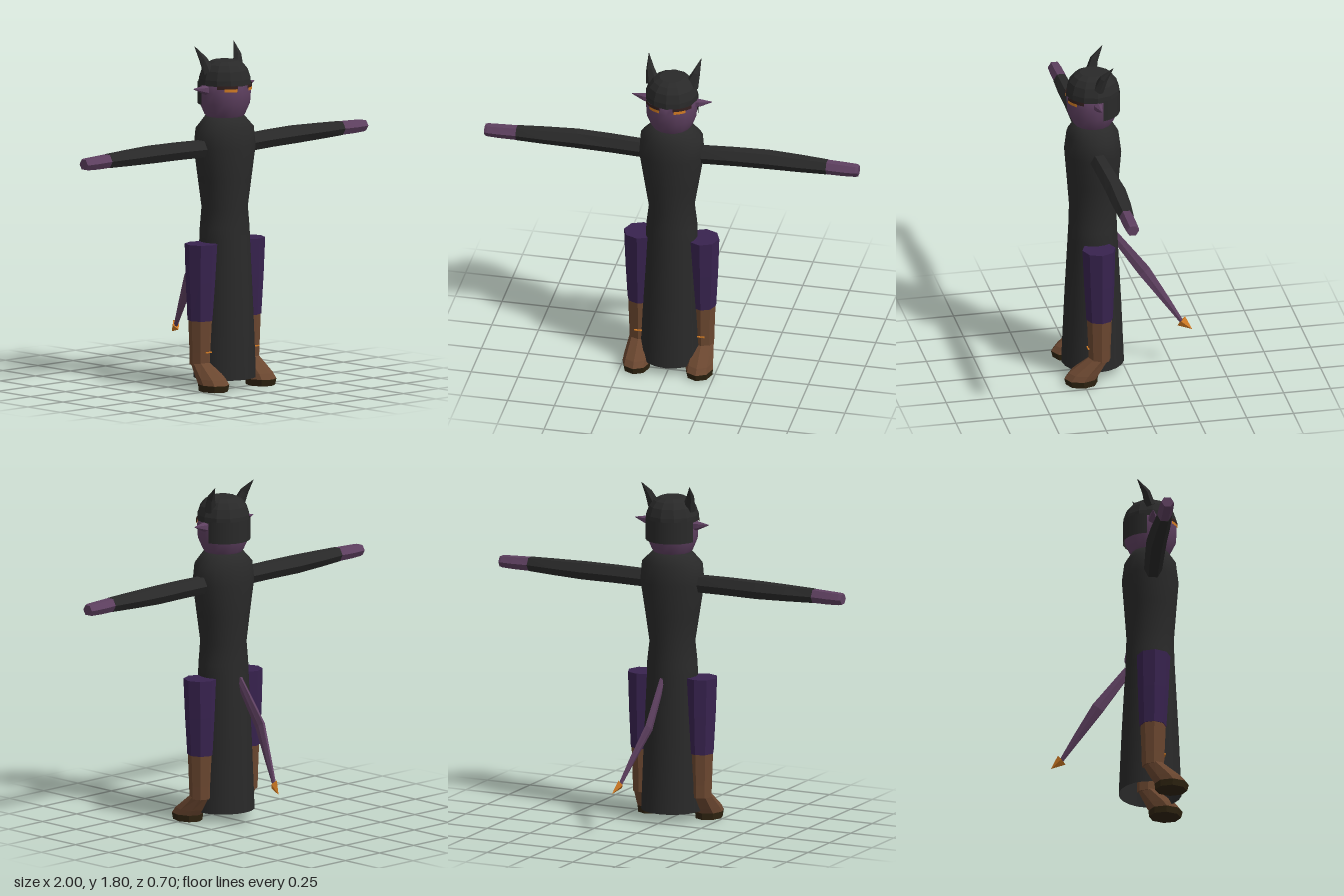
import * as THREE from 'three';

const mat = (name, color, side = THREE.FrontSide) => {
  const m = new THREE.MeshStandardMaterial({ color, side });
  m.name = name;
  return m;
};

// Joins elliptical rings [x, y, z, radiusU, radiusV] set square to dir; hint is the U axis
function loft(rings, sides, dir, hint, { smooth = false, capStart = true, capEnd = true } = {}) {
  const d = new THREE.Vector3(...dir).normalize();
  const u = new THREE.Vector3(...hint);
  u.addScaledVector(d, -u.dot(d)).normalize();
  const v = d.clone().cross(u);
  const pos = [], idx = [];
  for (const [x, y, z, ru, rv] of rings) {
    for (let i = 0; i < sides; i++) {
      const a = (i / sides) * Math.PI * 2;
      const p = new THREE.Vector3(x, y, z)
        .addScaledVector(u, Math.cos(a) * ru)
        .addScaledVector(v, Math.sin(a) * rv);
      pos.push(p.x, p.y, p.z);
    }
  }
  for (let r = 0; r < rings.length - 1; r++) {
    for (let i = 0; i < sides; i++) {
      const j = (i + 1) % sides, a = r * sides + i, b = r * sides + j;
      idx.push(a, b, b + sides, a, b + sides, a + sides);
    }
  }
  const last = (rings.length - 1) * sides;
  for (let i = 1; i < sides - 1; i++) {
    if (capStart) idx.push(0, i + 1, i);
    if (capEnd) idx.push(last, last + i, last + i + 1);
  }
  let g = new THREE.BufferGeometry();
  g.setAttribute('position', new THREE.Float32BufferAttribute(pos, 3));
  g.setIndex(idx);
  if (!smooth) g = g.toNonIndexed();
  g.computeVertexNormals();
  return g;
}

const UP = [0, 1, 0], X = [1, 0, 0], Z = [0, 0, 1];
const CZ = 0.165; // depth of the body axis

export function createModel() {
  const group = new THREE.Group();
  const cloth = mat('black cloth', 0x292929, THREE.DoubleSide);
  const skin = mat('purple skin', 0x5e4060);
  const trousers = mat('violet trousers', 0x38234f);
  const leather = mat('brown leather', 0x6b4730);
  const soleMat = mat('dark sole', 0x2e2310);
  const orange = mat('orange', 0xd37c24, THREE.DoubleSide);
  const browMat = mat('dark brow', 0x33201f, THREE.DoubleSide);

  const add = (name, geometry, material) => {
    const m = new THREE.Mesh(geometry, material);
    m.name = name;
    group.add(m);
    return m;
  };
  // Vertical loft from rows [y, halfWidth, halfDepth, x, z]
  const column = (rows, sides, opts) =>
    loft(rows.map(([y, rx, rz, x = 0, z = CZ]) => [x, y, z, rz, rx]), sides, UP, Z, opts);

  // Robe, open at the hem
  add('robe', column([
    [0.05, 0.165, 0.165], [0.4, 0.152, 0.15], [0.78, 0.136, 0.13], [0.84, 0.134, 0.127],
    [0.95, 0.12, 0.125], [1.1, 0.145, 0.136], [1.27, 0.173, 0.149], [1.37, 0.165, 0.136],
    [1.43, 0.105, 0.1], [1.435, 0.02, 0.02],
  ], 20, { smooth: true, capStart: false }), cloth);

  // Head
  add('head', column([
    [1.41, 0.08, 0.085], [1.44, 0.108, 0.105], [1.5, 0.132, 0.134],
    [1.56, 0.136, 0.139], [1.63, 0.132, 0.135],
  ], 16, { smooth: true }), skin);
  add('cap', column([
    [1.6, 0.139, 0.143], [1.63, 0.138, 0.14], [1.675, 0.122, 0.125],
    [1.705, 0.098, 0.1], [1.722, 0.065, 0.068],
  ], 12), cloth);

  // Thin curved plate wrapped round the head, angles measured from the front
  const wrap = (name, y0, y1, radius, from, to, material) => {
    const g = new THREE.CylinderGeometry(radius, radius, y1 - y0, 10, 1, true, from, to - from);
    g.scale(0.975, 1, 1).translate(0, (y0 + y1) / 2, CZ);
    add(name, g, material);
  };
  wrap('backHair', 1.495, 1.61, 0.143, 1.78, Math.PI * 2 - 1.78, cloth);

  for (const s of [1, -1]) {
    const side = s > 0 ? 'left' : 'right';
    const arc = (name, y0, y1, r, a, b, m) =>
      wrap(side + name, y0, y1, r, Math.min(s * a, s * b), Math.max(s * a, s * b), m);
    arc('Brow', 1.585, 1.604, 0.144, 0.25, 1.05, browMat);
    arc('Eye', 1.572, 1.588, 0.145, 0.28, 0.76, orange);

    // Pointed ear and bent horn
    add(side + 'Ear', loft([
      [s * 0.115, 1.575, CZ, 0.03, 0.025], [s * 0.15, 1.58, CZ, 0.023, 0.022],
      [s * 0.215, 1.59, 0.16, 0.002, 0.002],
    ], 6, [s, 0, 0], UP), skin);
    add(side + 'Horn', loft([
      [s * 0.1, 1.665, 0.155, 0.04, 0.03], [s * 0.122, 1.735, 0.132, 0.022, 0.022],
      [s * 0.14, 1.8, 0.084, 0.001, 0.001],
    ], 6, [s * 0.25, 1, -0.5], X), cloth);

    // Arm
    add(side + 'Sleeve', loft([
      [s * 0.15, 1.27, CZ, 0.05, 0.047], [s * 0.33, 1.274, 0.157, 0.05, 0.051],
      [s * 0.51, 1.275, 0.15, 0.05, 0.054], [s * 0.68, 1.275, 0.155, 0.045, 0.05],
      [s * 0.83, 1.275, 0.16, 0.04, 0.04],
    ].map(([x, y, z, a, b]) => [x, y, z, b, a]), 6, [s, 0, 0], Z), cloth);
    add(side + 'Hand', loft([
      [s * 0.825, 1.275, 0.16, 0.038, 0.039], [s * 0.92, 1.273, 0.16, 0.038, 0.037],
      [s * 0.985, 1.273, 0.16, 0.036, 0.034], [s * 1.0, 1.273, 0.16, 0.032, 0.03],
    ], 6, [s, 0, 0], Z), skin);

    // Leg and boot
    const x = s * 0.168;
    add(side + 'Trouser', column([
      [0.365, 0.069, 0.071, x, 0.163], [0.57, 0.08, 0.081, x, 0.165],
      [0.77, 0.087, 0.088, x, 0.167],
    ], 8), trousers);
    add(side + 'BootShaft', column([
      [0.13, 0.058, 0.058, x, 0.163], [0.2, 0.06, 0.06, x, 0.164],
      [0.37, 0.066, 0.067, x, 0.164],
    ], 8), leather);
    add(side + 'Foot', column([
      [0.035, 0.073, 0.089, x, 0.262], [0.065, 0.07, 0.088, x, 0.24],
      [0.145, 0.055, 0.057, x, 0.163],
    ], 8), leather);
    add(side + 'Sole', column([
      [0, 0.07, 0.084, x, 0.259], [0.035, 0.074, 0.09, x, 0.262],
    ], 8), soleMat);
    add(side + 'BootTrim', new THREE.BoxGeometry(0.04, 0.006, 0.008), orange)
      .position.set(x, 0.2, 0.225);
  }

  // Blade-like tail with an arrow tip
  add('tail', loft([
    [0, 0.76, 0.05, 0.012, 0.026], [0, 0.535, -0.11, 0.013, 0.038],
    [0.045, 0.38, -0.215, 0.012, 0.024], [0.078, 0.255, -0.297, 0.009, 0.011],
  ], 6, [0.08, -0.55, -0.38], X), skin);
  add('tailTip', loft([
    [0.077, 0.263, -0.292, 0.018, 0.032], [0.097, 0.22, -0.345, 0.001, 0.001],
  ], 4, [0.25, -0.6, -0.72], X), orange);

  return group;
}
